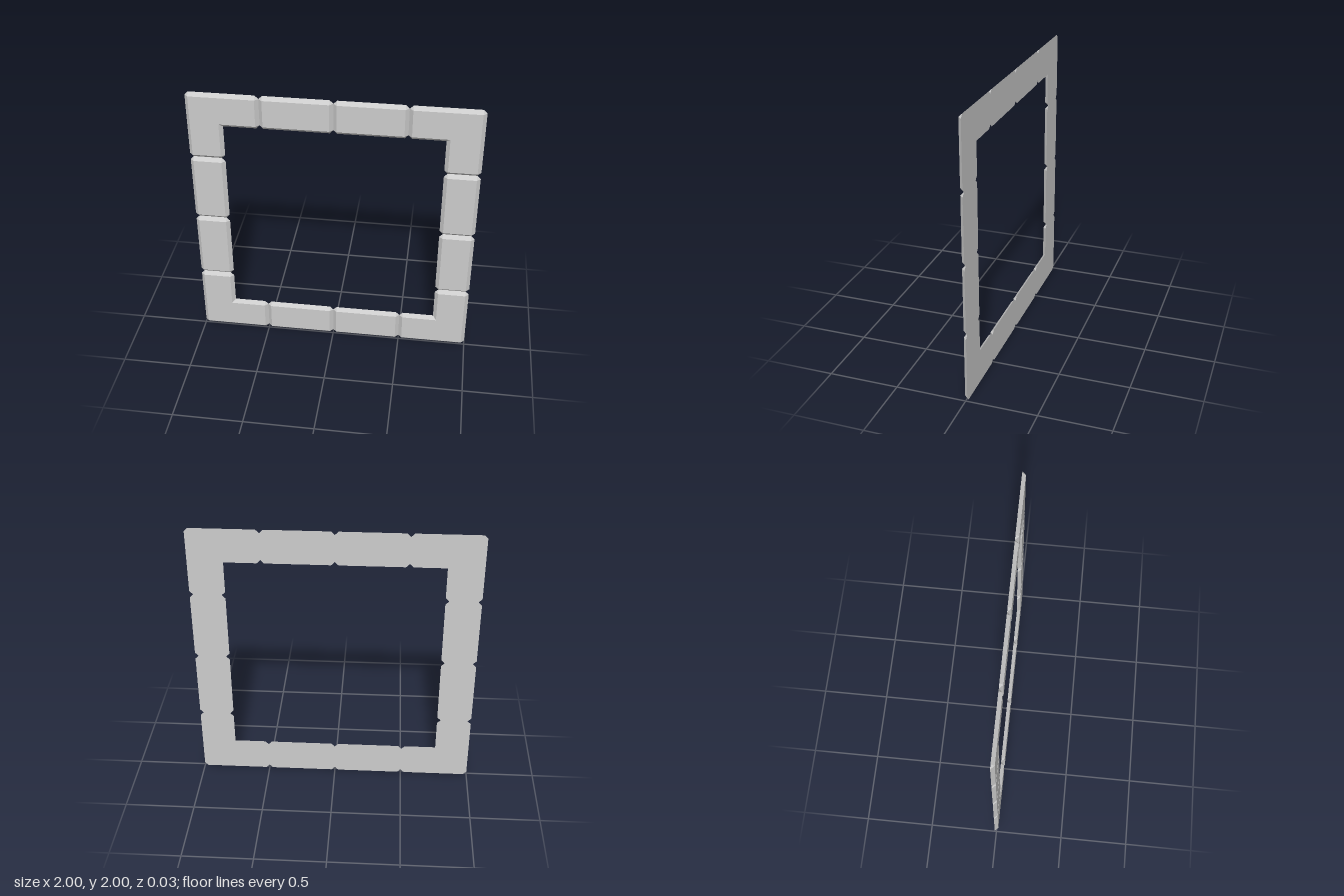
import * as THREE from 'three';

const WIDTH = 0.248;  // width of the border
const BEVEL = 0.025;  // sloped edge, as seen from the front
const HALF = 0.0125;  // half thickness

// Bevelled tile from a right-angled, counter-clockwise outline.
// The back is the full outline with clipped outer corners, the front is inset.
function tileGeometry(outline) {
  const pts = outline.map(([x, y]) => new THREE.Vector2(x, y));
  const n = pts.length;
  const dirs = pts.map((p, i) => pts[(i + 1) % n].clone().sub(p).normalize());
  const corners = pts.map((p, i) => {
    const d1 = dirs[(i + n - 1) % n], d2 = dirs[i];
    const convex = d1.cross(d2) > 0;
    return {
      convex,
      front: new THREE.Vector2(p.x - BEVEL * (d1.y + d2.y), p.y + BEVEL * (d1.x + d2.x)),
      into: convex ? p.clone().addScaledVector(d1, -BEVEL) : p,
      out: convex ? p.clone().addScaledVector(d2, BEVEL) : p,
    };
  });

  const pos = [];
  const put = (v, z) => pos.push(v.x, v.y, z);
  const face = (list, z, flip) => {
    for (const [a, b, c] of THREE.ShapeUtils.triangulateShape(list, [])) {
      for (const i of flip ? [a, c, b] : [a, b, c]) put(list[i], z);
    }
  };

  // Flat front and back
  face(corners.map(c => c.front), HALF, false);
  face(corners.flatMap(c => (c.convex ? [c.into, c.out] : [c.into])), -HALF, true);

  // Sloped sides and clipped corners
  corners.forEach((c, i) => {
    const e = corners[(i + 1) % n];
    put(c.out, -HALF); put(e.into, -HALF); put(e.front, HALF);
    put(c.out, -HALF); put(e.front, HALF); put(c.front, HALF);
    if (c.convex) {
      put(c.into, -HALF); put(c.out, -HALF); put(c.front, HALF);
    }
  });

  const geo = new THREE.BufferGeometry();
  geo.setAttribute('position', new THREE.Float32BufferAttribute(pos, 3));
  geo.computeVertexNormals();
  return geo;
}

export function createModel() {
  const model = new THREE.Group();
  model.name = 'squareFrame';
  const material = new THREE.MeshStandardMaterial({ color: 0xcccccc, flatShading: true });

  const inner = -1 + WIDTH;
  const bar = x => tileGeometry([[x, -1], [x + 0.5, -1], [x + 0.5, inner], [x, inner]]);
  const parts = {
    cornerTile: tileGeometry([
      [-1, -1], [-0.5, -1], [-0.5, inner], [inner, inner], [inner, -0.5], [-1, -0.5],
    ]),
    firstSideTile: bar(-0.5),
    secondSideTile: bar(0),
  };

  // One corner and two side tiles, turned around the four sides
  for (let k = 0; k < 4; k++) {
    const side = new THREE.Group();
    side.name = `frameSide${k + 1}`;
    for (const [name, geometry] of Object.entries(parts)) {
      const mesh = new THREE.Mesh(geometry, material);
      mesh.name = name;
      side.add(mesh);
    }
    side.rotation.z = (k * Math.PI) / 2;
    side.position.y = 1;
    model.add(side);
  }
  return model;
}
